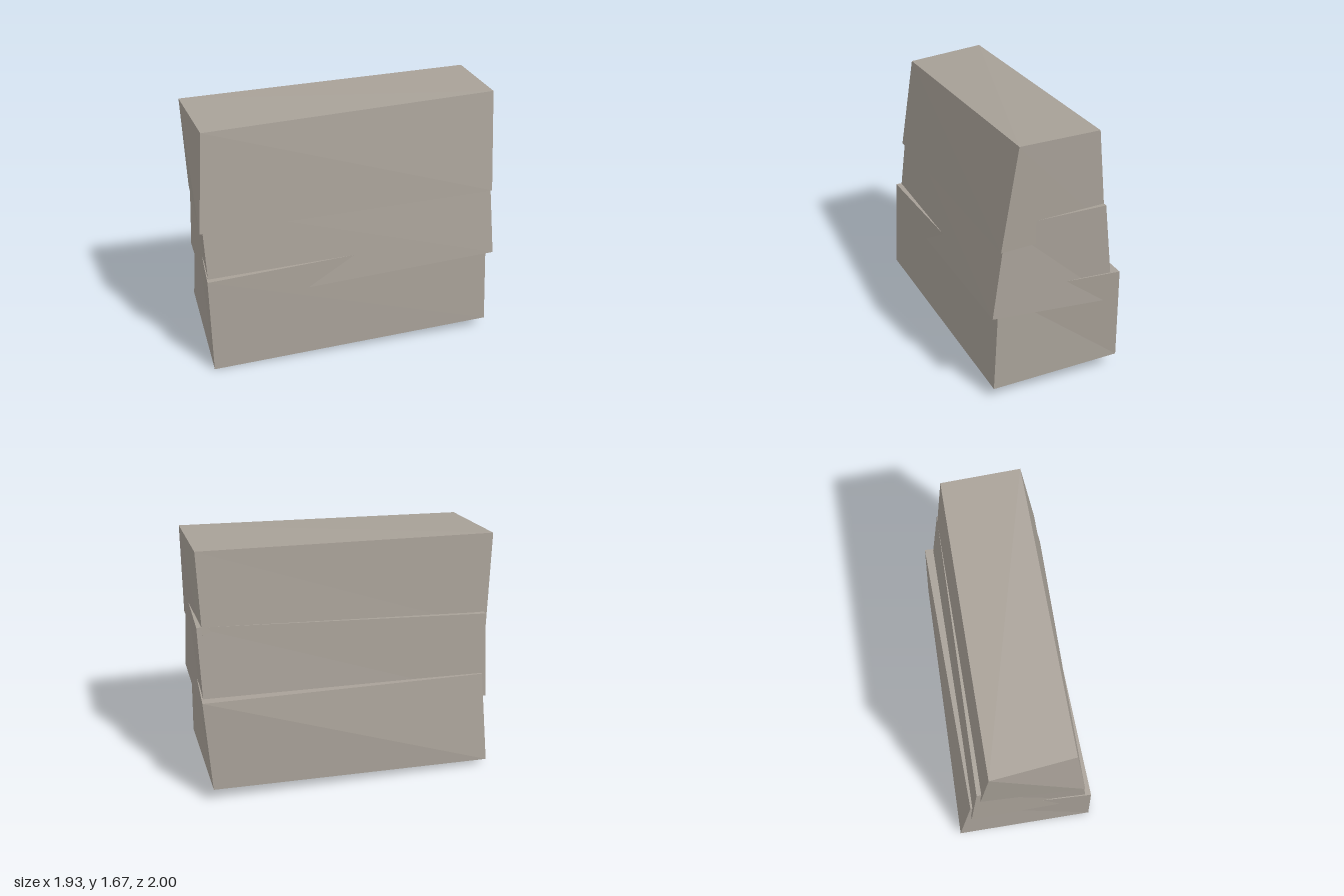
import * as THREE from 'three';

// Skewed block from bottom and top rings of four corners (west, south, east, north)
function skewedBlock(name, bottom, top, material) {
  const pos = [];
  const tri = (a, b, c) => pos.push(...a, ...b, ...c);
  for (let i = 0; i < 4; i++) {
    const j = (i + 1) % 4;
    tri(bottom[i], bottom[j], top[i]);
    tri(top[i], bottom[j], top[j]);
  }
  tri(top[0], top[1], top[2]);
  tri(top[0], top[2], top[3]);
  tri(bottom[0], bottom[2], bottom[1]);
  tri(bottom[0], bottom[3], bottom[2]);
  const geometry = new THREE.BufferGeometry();
  geometry.setAttribute('position', new THREE.Float32BufferAttribute(pos, 3));
  geometry.computeVertexNormals();
  const mesh = new THREE.Mesh(geometry, material);
  mesh.name = name;
  return mesh;
}

export function createModel() {
  const group = new THREE.Group();
  group.name = 'stoneStack';
  const stone = new THREE.MeshStandardMaterial({ color: 0xa8a198, flatShading: true });
  stone.name = 'warm grey stone';

  // Three uneven slabs, each sunk into the one below
  group.add(skewedBlock('lowerSlab',
    [[-0.97, 0.04, 0.39], [-0.27, 0, 1], [0.94, 0.065, -0.44], [0.3, 0.1, -0.99]],
    [[-0.88, 0.66, 0.43], [-0.3, 0.63, 0.985], [0.9, 0.73, -0.455], [0.34, 0.73, -1]], stone));
  group.add(skewedBlock('middleSlab',
    [[-0.905, 0.49, 0.455], [-0.3, 0.45, 0.965], [0.965, 0.585, -0.445], [0.355, 0.535, -0.965]],
    [[-0.855, 1.08, 0.475], [-0.38, 1.1, 0.925], [0.88, 1.17, -0.49], [0.42, 1.2, -0.92]], stone));
  group.add(skewedBlock('upperSlab',
    [[-0.85, 0.97, 0.5], [-0.365, 0.94, 0.957], [0.915, 1.015, -0.475], [0.385, 1.05, -0.905]],
    [[-0.83, 1.61, 0.56], [-0.39, 1.575, 0.865], [0.84, 1.665, -0.55], [0.44, 1.675, -0.87]], stone));
  return group;
}
